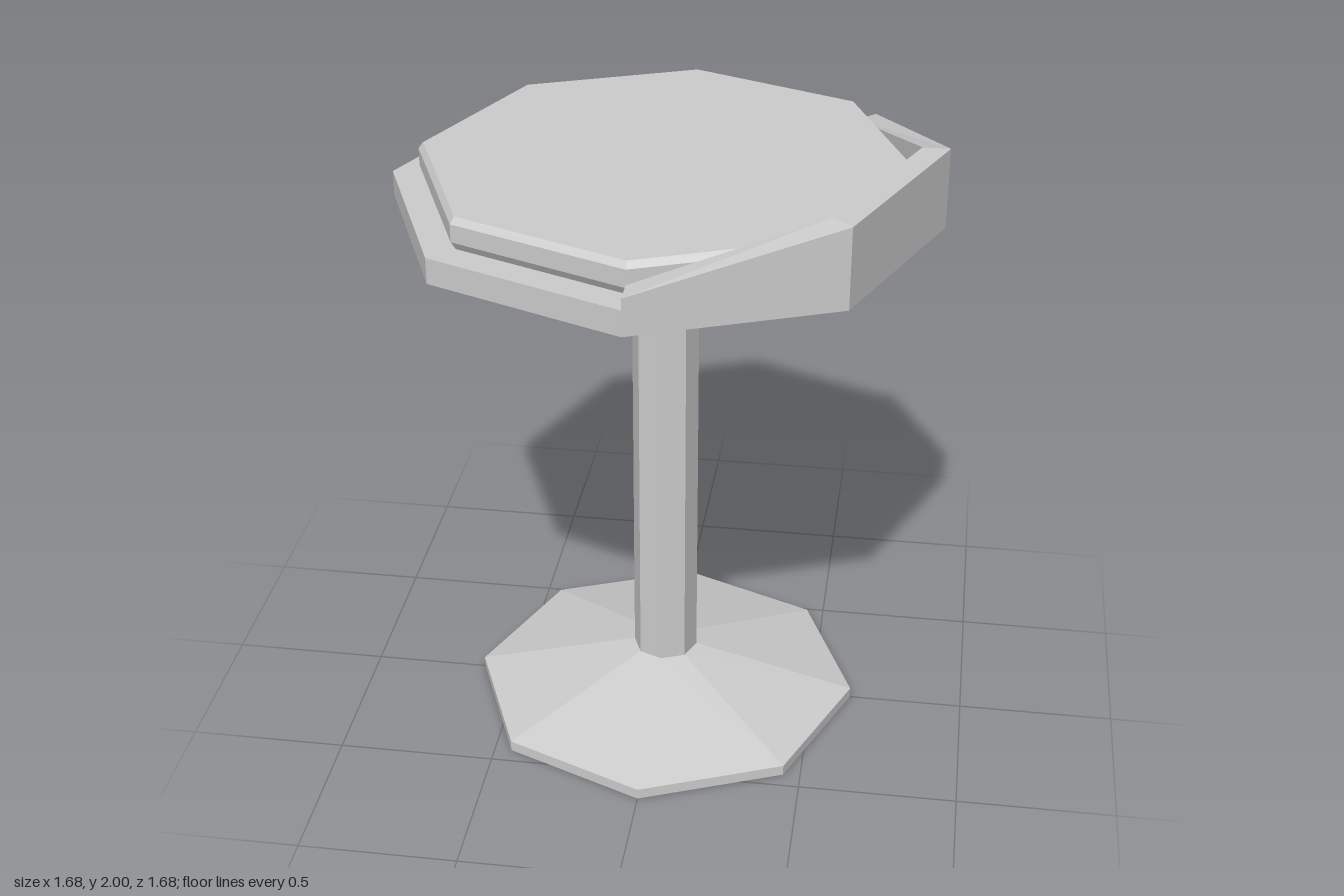
import * as THREE from 'three';

const SIDES = 8;
const material = new THREE.MeshStandardMaterial({ color: 0xcccccc, flatShading: true });

function addMesh(group, name, geometry) {
  const mesh = new THREE.Mesh(geometry, material);
  mesh.name = name;
  group.add(mesh);
}

// Octagonal solid turned from [radius, y] points, corners on the x and z axes
function turned(profile) {
  const points = profile.map(([r, y]) => new THREE.Vector2(r, y));
  return new THREE.LatheGeometry(points, SIDES).toNonIndexed();
}

// Raised wall following the octagon, one four-corner cross-section per height
function wall(outer, inner, bottom, heights) {
  const sections = heights.map((top, i) => {
    const a = (i * Math.PI * 2) / SIDES;
    const at = (r, y) => [r * Math.sin(a), y, r * Math.cos(a)];
    return [at(outer, bottom), at(outer, top), at(inner, top), at(inner, bottom)];
  });
  const positions = [];
  const quad = (a, b, c, d) => positions.push(...a, ...b, ...c, ...a, ...c, ...d);
  for (let i = 0; i < sections.length - 1; i++) {
    const s = sections[i], t = sections[i + 1];
    for (let j = 0; j < 4; j++) {
      const k = (j + 1) % 4;
      quad(s[j], t[j], t[k], s[k]);
    }
  }
  // End caps
  const [a, b, c, d] = sections[0];
  quad(a, b, c, d);
  const [e, f, g, h] = sections[sections.length - 1];
  quad(h, g, f, e);
  const geometry = new THREE.BufferGeometry();
  geometry.setAttribute('position', new THREE.Float32BufferAttribute(positions, 3));
  geometry.computeVertexNormals();
  return geometry;
}

export function createModel() {
  const stool = new THREE.Group();
  stool.name = 'stool';

  // Foot, column and flared seat support
  addMesh(stool, 'base', turned([[0, 0], [0.63, 0], [0.63, 0.035], [0.105, 0.17], [0, 0.17]]));
  const column = new THREE.CylinderGeometry(0.105, 0.105, 1.415, SIDES, 1, true);
  column.translate(0, 0.8775, 0);
  addMesh(stool, 'column', column);
  addMesh(stool, 'seatSupport', turned([[0, 1.585], [0.105, 1.585], [0.42, 1.75]]));

  // Seat plate and bevelled cushion
  addMesh(stool, 'seatPlate', turned([[0, 1.75], [0.84, 1.75], [0.84, 1.83], [0, 1.83]]));
  addMesh(stool, 'cushion', turned([[0.74, 1.83], [0.755, 1.855], [0.755, 1.91], [0.74, 1.93], [0, 1.93]]));

  // Low backrest wrapping three sides, sloping down at both ends
  addMesh(stool, 'backrest', wall(0.84, 0.757, 1.83, [1.865, 2, 2, 1.865]));

  return stool;
}
